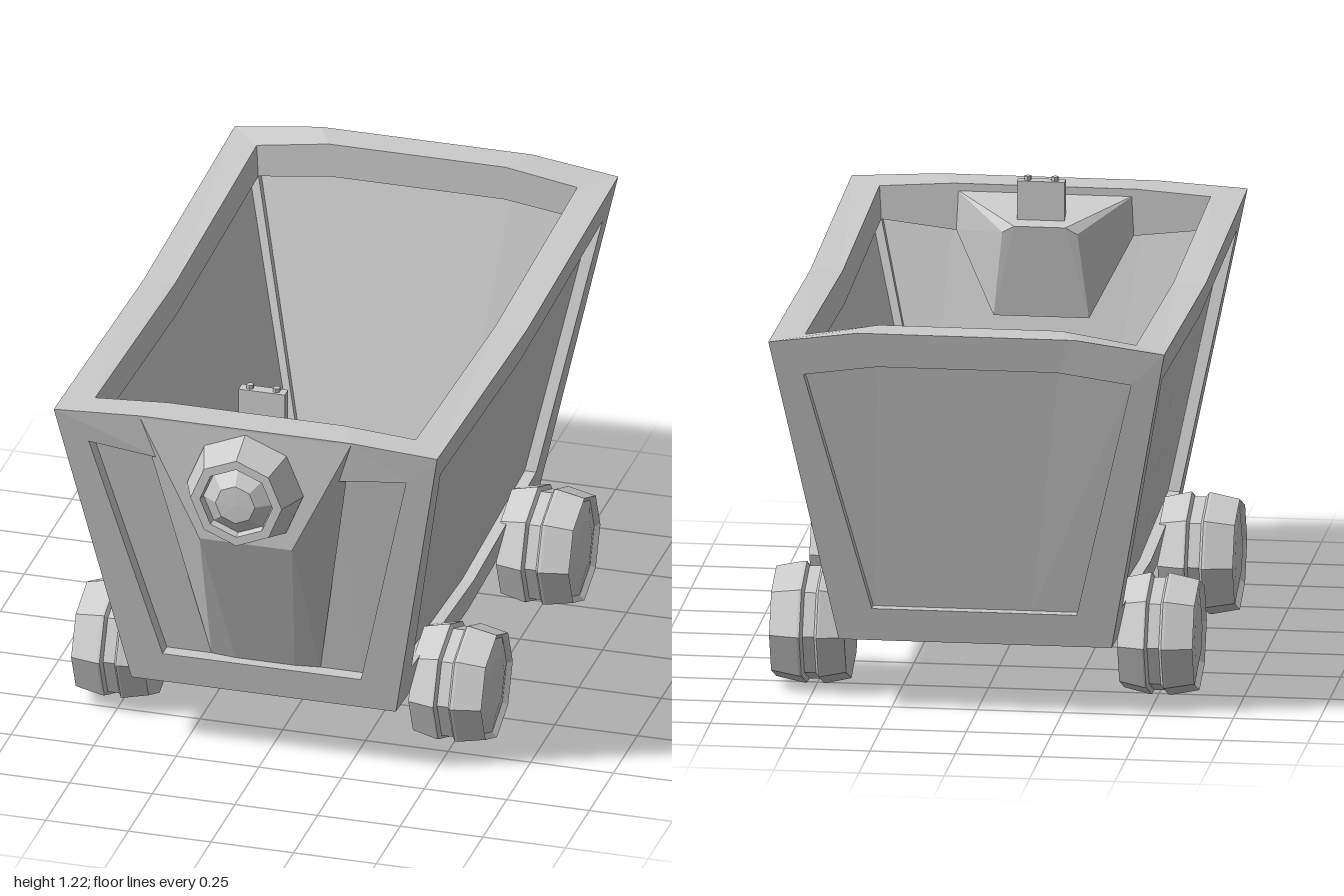
import * as THREE from 'three';
import { ConvexGeometry } from 'three/addons/geometries/ConvexGeometry.js';

const MID_Z = -0.05; // where the long sides sag
const material = new THREE.MeshStandardMaterial({ color: 0xcccccc, flatShading: true, side: THREE.DoubleSide });

function named(name, geometry) {
  const mesh = new THREE.Mesh(geometry, material);
  mesh.name = name;
  return mesh;
}

// Flat-faced geometry from a list of four-cornered faces
function fromQuads(quads) {
  const g = new THREE.BufferGeometry();
  const p = quads.flatMap(([a, b, c, d]) => [a, b, c, a, c, d].flat());
  g.setAttribute('position', new THREE.Float32BufferAttribute(p, 3));
  g.computeVertexNormals();
  return g;
}

// Faces joining two closed loops
const band = (a, b) => a.map((p, i) => {
  const j = (i + 1) % a.length;
  return [p, a[j], b[j], b[i]];
});

// Faces joining two open rows
const strip = (a, b) => a.slice(1).map((p, i) => [a[i], p, b[i + 1], b[i]]);

// Closed loop around the tub: sagging sides, ends with a raised middle
function ring(x, zf, zb, y, sag = 0.035, crownF = 0, crownB = 0) {
  const m = x * 0.55;
  return [
    [x, y, zf], [x, y - sag, MID_Z], [x, y, zb],
    [m, y + crownB, zb], [-m, y + crownB, zb],
    [-x, y, zb], [-x, y - sag, MID_Z], [-x, y, zf],
    [-m, y + crownF, zf], [m, y + crownF, zf],
  ];
}

const fillRing = (r) => strip([r[0], r[1], r[2]], [r[7], r[6], r[5]]);
const joinRings = (rings) => rings.slice(1).flatMap((r, i) => band(rings[i], r));

// Beam frame with a recessed panel; rows run along the top and bottom edges
function framedWall(name, top, bottom, insetTop, insetBottom, recess) {
  const loop = (t, b) => [...t, ...[...b].reverse()];
  const sunk = (row) => row.map((p) => p.map((v, i) => v + recess[i]));
  const inset = loop(insetTop, insetBottom);
  const group = new THREE.Group();
  group.name = name;
  group.add(named('wallFrame', fromQuads([
    ...band(loop(top, bottom), inset),
    ...band(inset, sunk(inset)),
  ])));
  group.add(named('wallPanel', fromQuads(strip(sunk(insetTop), sunk(insetBottom)))));
  return group;
}

function createTub() {
  const tub = new THREE.Group();
  tub.name = 'tub';
  const topRing = ring(0.58, 0.89, -1, 1.155, 0.035, 0.015, 0.035);
  const baseRing = ring(0.4, 0.7, -0.8, 0.215);

  // Rim and the lip beneath it
  tub.add(named('rim', fromQuads(joinRings([
    topRing,
    ring(0.485, 0.785, -0.9, 1.155, 0.035, 0.015, 0.035),
    ring(0.48, 0.785, -0.9, 1.055, 0.035, -0.025, 0.03),
    ring(0.505, 0.81, -0.925, 1.055, 0.035, -0.025, 0.03),
  ]))));

  // Inner walls and floor
  const floor = ring(0.325, 0.615, -0.725, 0.315);
  tub.add(named('innerWalls', fromQuads(
    band(ring(0.505, 0.81, -0.925, 1.055, 0.035, -0.025, 0.03), floor))));
  tub.add(named('floor', fromQuads(fillRing(floor))));

  // Underside frame with recessed panel
  const under = ring(0.3, 0.6, -0.7, 0.25);
  tub.add(named('underside', fromQuads([
    ...joinRings([baseRing, ring(0.3, 0.6, -0.7, 0.215), under]),
    ...fillRing(under),
  ])));

  // Long sides
  for (const s of [1, -1]) {
    const row = (x, zf, zb, y) => [[s * x, y, zf], [s * x, y - 0.035, MID_Z], [s * x, y, zb]];
    tub.add(framedWall(s > 0 ? 'leftWall' : 'rightWall',
      row(0.58, 0.89, -1, 1.155), row(0.4, 0.7, -0.8, 0.215),
      row(0.561, 0.79, -0.9, 1.055), row(0.419, 0.6, -0.7, 0.315),
      [-0.035 * s, 0, 0]));
  }

  // Front and back ends
  const endRow = (x, y, z, crown) => [
    [-x, y, z], [-x * 0.55, y + crown, z], [x * 0.55, y + crown, z], [x, y, z],
  ];
  tub.add(framedWall('frontWall',
    endRow(0.58, 1.155, 0.89, 0.015), endRow(0.4, 0.215, 0.7, 0),
    endRow(0.48, 1.055, 0.87, -0.025), endRow(0.3, 0.315, 0.72, 0), [0, 0, -0.045]));
  tub.add(framedWall('backWall',
    endRow(0.58, 1.155, -1, 0.035), endRow(0.4, 0.215, -0.8, 0),
    endRow(0.48, 1.055, -0.979, 0.03), endRow(0.3, 0.315, -0.821, 0), [0, 0, 0.035]));

  // Inner corner posts
  for (const s of [1, -1]) {
    for (const [zTop, zBottom, d] of [[0.785, 0.6, 0.03], [-0.9, -0.7, -0.03]]) {
      const square = (x, y, z) => [
        [s * x, y, z], [s * (x + 0.03), y, z], [s * (x + 0.03), y, z + d], [s * x, y, z + d],
      ];
      tub.add(named('cornerPost', fromQuads(band(square(0.48, 1.06, zTop), square(0.3, 0.3, zBottom)))));
    }
  }
  return tub;
}

const mirroredHull = (points) => new ConvexGeometry(
  points.flatMap(([x, y, z]) => [new THREE.Vector3(x, y, z), new THREE.Vector3(-x, y, z)]));

// Eight-sided turned part from [radius, height] pairs
const turned = (profile) => new THREE.LatheGeometry(profile.map(([r, h]) => new THREE.Vector2(r, h)), 8);

function createLamp() {
  const lamp = new THREE.Group();
  lamp.name = 'headlamp';
  // Plate that folds down into the front panel
  lamp.add(named('lampPlate', mirroredHull([
    [0.32, 1.165, 0.889], [0.264, 1.03, 0.868], [0.14, 0.795, 0.887],
    [0.09, 0.315, 0.685], [0.165, 0.315, 0.675],
  ])));
  // Block and ledge on the inside
  lamp.add(named('lampBlock', mirroredHull([
    [0.26, 1.15, 0.79], [0.26, 1.03, 0.785], [0.11, 1.1, 0.735],
    [0.075, 1.08, 0.66], [0.11, 1.06, 0.665], [0.14, 0.8, 0.7], [0.14, 0.8, 0.76],
  ])));
  const housing = named('lampHousing', turned([
    [0.175, 0.86], [0.175, 0.895], [0.138, 0.988], [0.11, 0.988], [0.105, 0.965], [0.06, 0.998], [0, 1],
  ]));
  housing.rotation.x = Math.PI / 2;
  housing.position.y = 0.977;
  lamp.add(housing);

  // Small switch box with two studs
  const box = named('switchBox', new THREE.BoxGeometry(0.14, 0.13, 0.035));
  box.position.set(0, 1.145, 0.703);
  lamp.add(box);
  for (const x of [-0.04, 0.04]) {
    const stud = named('switchStud', new THREE.CylinderGeometry(0.011, 0.011, 0.02, 6));
    stud.position.set(x, 1.212, 0.703);
    lamp.add(stud);
  }
  return lamp;
}

function createWheels() {
  const wheels = new THREE.Group();
  wheels.name = 'wheels';
  const geometry = turned([
    [0, 0.4], [0.165, 0.4], [0.183, 0.475], [0.183, 0.48], [0.17, 0.488], [0.17, 0.522],
    [0.183, 0.53], [0.183, 0.538], [0.166, 0.62], [0.15, 0.606], [0.09, 0.617], [0, 0.618],
  ]);
  for (const z of [0.405, -0.51]) {
    for (const s of [1, -1]) {
      const wheel = named('wheel', geometry);
      wheel.rotation.z = -s * Math.PI / 2;
      wheel.position.set(0, 0.185, z);
      wheels.add(wheel);
    }
  }
  return wheels;
}

export function createModel() {
  const model = new THREE.Group();
  model.name = 'mineCart';
  model.add(createTub(), createLamp(), createWheels());
  return model;
}
